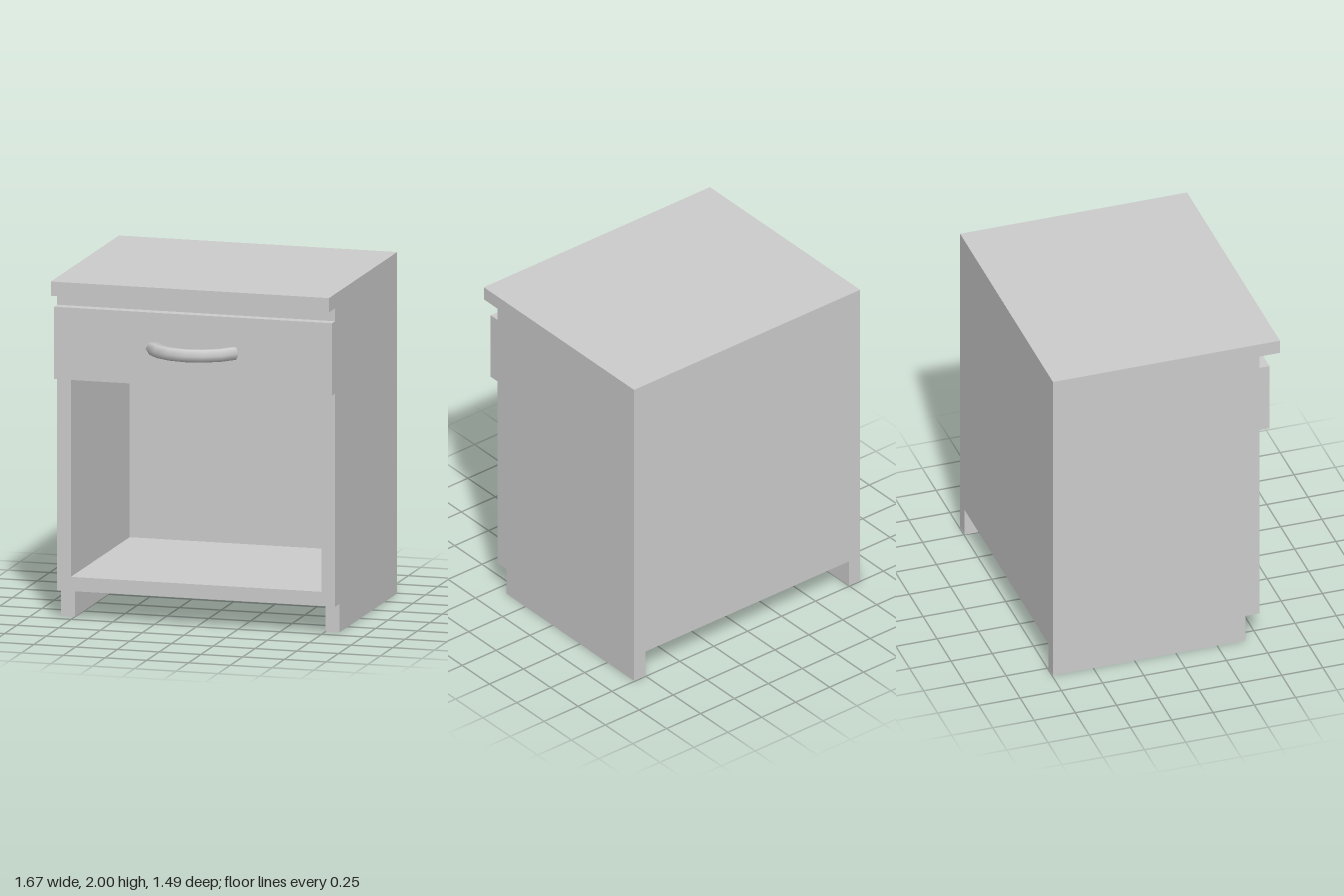
import * as THREE from 'three';

const grey = new THREE.MeshStandardMaterial({ color: 0xcccccc });

// Main planes of the cabinet
const W = 0.833, T = 0.083;
const BACK = -0.745, FRONT = 0.505, FOOT_FRONT = 0.422;
const BASE_Y = 0.167, CASE_Y = 1.417, TOP_Y = 1.917;

// Box given by its lower and upper limits on each axis
function box(name, [x0, x1], [y0, y1], [z0, z1]) {
  const mesh = new THREE.Mesh(new THREE.BoxGeometry(x1 - x0, y1 - y0, z1 - z0), grey);
  mesh.position.set((x0 + x1) / 2, (y0 + y1) / 2, (z0 + z1) / 2);
  mesh.name = name;
  return mesh;
}

// Side panel with its runner foot, cut back at the front
function sidePanel(name, x0) {
  const profile = new THREE.Shape([
    [-BACK, 0], [-BACK, TOP_Y], [-FRONT, TOP_Y],
    [-FRONT, BASE_Y], [-FOOT_FRONT, BASE_Y], [-FOOT_FRONT, 0],
  ].map(([x, y]) => new THREE.Vector2(x, y)));
  const geo = new THREE.ExtrudeGeometry(profile, { depth: T, bevelEnabled: false });
  geo.rotateY(Math.PI / 2);
  const mesh = new THREE.Mesh(geo, grey);
  mesh.position.x = x0;
  mesh.name = name;
  return mesh;
}

// Bowed pull: a third of a six-sided ring, with closed ends
function makeHandle() {
  const handle = new THREE.Group();
  handle.name = 'handle';
  const R = 0.28, r = 0.0415, arc = Math.PI * 2 / 3;
  const place = (geo, name) => {
    geo.rotateZ((Math.PI - arc) / 2).rotateX(Math.PI / 2);
    const mesh = new THREE.Mesh(geo, grey);
    mesh.name = name;
    handle.add(mesh);
  };
  place(new THREE.TorusGeometry(R, r, 6, 6, arc), 'handleBow');
  for (const end of [0, 1]) {
    const cap = new THREE.CircleGeometry(r, 6);
    cap.rotateX(end ? -Math.PI / 2 : Math.PI / 2).translate(R, 0, 0).rotateZ(end * arc);
    place(cap, end ? 'rightHandleEnd' : 'leftHandleEnd');
  }
  handle.position.set(0, 1.63, 0.4235);
  return handle;
}

export function createModel() {
  const model = new THREE.Group();
  model.name = 'nightstand';
  const inner = [-W + T, W - T];
  model.add(
    sidePanel('leftSide', W - T),
    sidePanel('rightSide', -W),
    box('floorPanel', inner, [BASE_Y, BASE_Y + T], [BACK, FRONT]),
    box('backPanel', inner, [BASE_Y + T, CASE_Y], [BACK, -0.68]),
    box('drawerCase', inner, [CASE_Y, TOP_Y], [BACK, FRONT]),
    box('drawerFront', [-W, W], [CASE_Y, 1.84], [FRONT, 0.567]),
    box('tabletop', [-W, W], [TOP_Y, 2], [BACK, 0.63]),
    makeHandle(),
  );
  return model;
}
